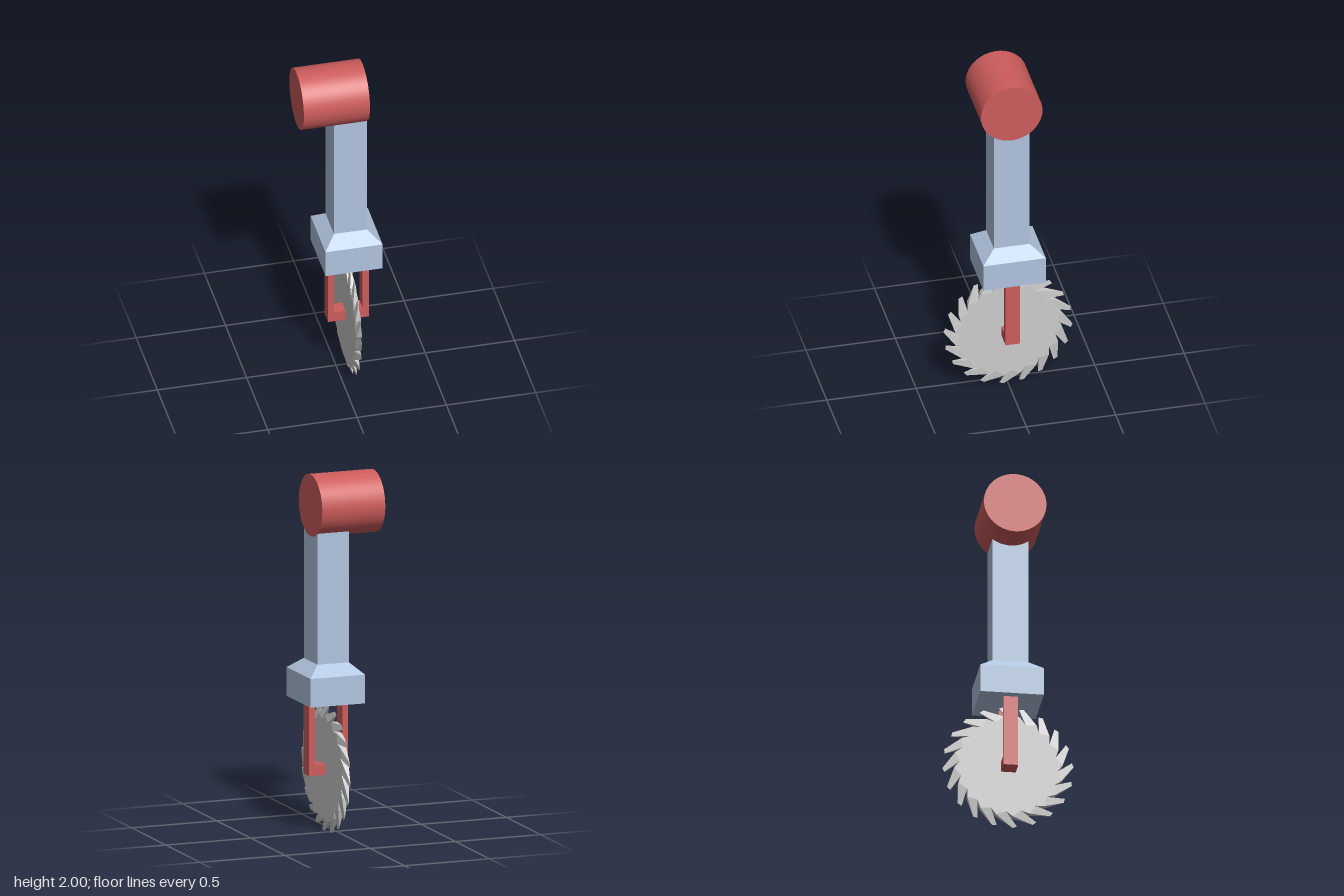
import * as THREE from 'three';
import { ConvexGeometry } from 'three/addons/geometries/ConvexGeometry.js';

const AXIS_X = 0.06; // centre line of arm, collar, fork and blade

export function createModel() {
  const group = new THREE.Group();
  const red = new THREE.MeshStandardMaterial({ color: 0xcd5c5c });
  const blue = new THREE.MeshStandardMaterial({ color: 0xb0c4de, flatShading: true });
  const grey = new THREE.MeshStandardMaterial({ color: 0xcccccc, flatShading: true });

  const add = (name, geometry, material, x, y, parent = group) => {
    const mesh = new THREE.Mesh(geometry, material);
    mesh.name = name;
    mesh.position.set(x, y, 0);
    parent.add(mesh);
    return mesh;
  };
  const box = (w, h, d) => new THREE.BoxGeometry(w, h, d);

  // Shoulder joint: cylinder lying along x
  add('shoulderJoint', new THREE.CylinderGeometry(0.172, 0.172, 0.37, 64).rotateZ(Math.PI / 2), red, -0.035, 1.828);

  // Arm, with its top hidden inside the shoulder
  add('arm', box(0.184, 0.8, 0.2), blue, 0.057, 1.35);

  // Collar: square block with a sloped top
  add('collar', box(0.32, 0.16, 0.35), blue, AXIS_X, 0.82);
  const slope = box(0.32, 0.06, 0.35);
  const p = slope.attributes.position;
  for (let i = 0; i < p.count; i++) {
    if (p.getY(i) > 0) p.setXYZ(i, p.getX(i) * 0.578 - 0.002, p.getY(i), p.getZ(i) * 0.571);
  }
  slope.computeVertexNormals();
  add('collarSlope', slope, blue, AXIS_X, 0.93);

  // Fork that carries the blade
  const fork = new THREE.Group();
  fork.name = 'fork';
  group.add(fork);
  for (const side of [-1, 1]) {
    add('forkProng', box(0.034, 0.41, 0.08), red, AXIS_X + side * 0.0975, 0.535, fork);
  }
  add('forkAxle', box(0.161, 0.06, 0.08), red, AXIS_X, 0.36, fork);

  // Saw blade, drawn in a plane and then turned to face x
  const blade = new THREE.Group();
  blade.name = 'sawBlade';
  blade.position.set(AXIS_X, 0.364, 0);
  blade.rotation.y = Math.PI / 2;
  group.add(blade);

  const teeth = 20, half = 0.0165;
  const polar = (degrees, r, z = 0) => {
    const a = THREE.MathUtils.degToRad(degrees);
    return new THREE.Vector3(Math.sin(a) * r, Math.cos(a) * r, z);
  };
  const outline = [];
  for (let i = 0; i < teeth; i++) {
    const a = 23 + (i * 360) / teeth;
    const back = [a, 0.3], front = [a + 10, 0.27];
    outline.push(polar(...back), polar(...front));
    // Raked tooth, thinning to a sharp end edge
    const tooth = new ConvexGeometry([
      polar(...back, half), polar(...back, -half),
      polar(...front, half), polar(...front, -half),
      polar(a + 17, 0.362), polar(a + 21, 0.355),
    ]);
    add('sawTooth', tooth, grey, 0, 0, blade);
  }
  const disc = new THREE.ExtrudeGeometry(
    new THREE.Shape(outline.map((v) => new THREE.Vector2(v.x, v.y))),
    { depth: half * 2, bevelEnabled: false },
  ).translate(0, 0, -half);
  add('bladeDisc', disc, grey, 0, 0, blade);

  return group;
}
